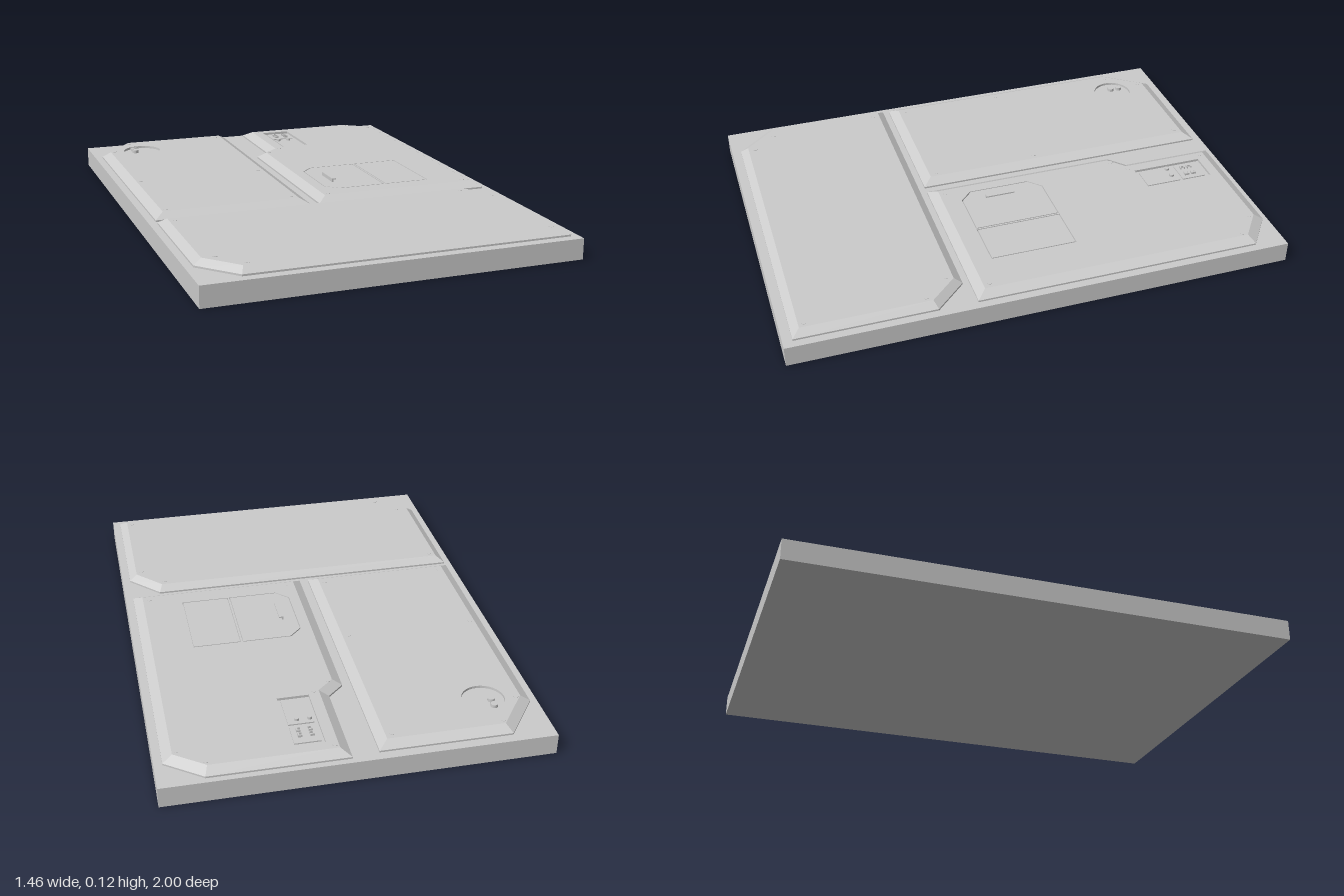
import * as THREE from 'three';

const TOP = 0.11, LIP = 0.089, BASE = 0.082, FLOOR = 0.1;
const mat = new THREE.MeshStandardMaterial({ color: 0xcccccc, flatShading: true });

// Outlines are [x, z] loops, counter-clockwise seen from above.
const rect = (x0, z0, x1, z1) => [[x0, z1], [x1, z1], [x1, z0], [x0, z0]];
const circle = (cx, cz, r, n = 32) => Array.from({ length: n }, (_, i) => {
  const a = (i / n) * Math.PI * 2;
  return [cx + r * Math.cos(a), cz - r * Math.sin(a)];
});
const toPoints = (loop) => loop.map(([x, z]) => new THREE.Vector2(x, -z));

// Moves every edge inward by d and intersects neighbouring edges.
function inset(loop, d) {
  const n = loop.length;
  const edges = loop.map(([x, z], i) => {
    const [x2, z2] = loop[(i + 1) % n];
    const l = Math.hypot(x2 - x, z2 - z), ux = (x2 - x) / l, uz = (z2 - z) / l;
    return { x: x + uz * d, z: z - ux * d, ux, uz };
  });
  return edges.map((b, i) => {
    const a = edges[(i + n - 1) % n];
    const t = ((b.x - a.x) * b.uz - (b.z - a.z) * b.ux) / (a.ux * b.uz - a.uz * b.ux);
    return [a.x + a.ux * t, a.z + a.uz * t];
  });
}

// Strip of quads joining two loops at two heights.
function band(lower, y0, upper, y1) {
  const pos = [], n = lower.length;
  for (let i = 0; i < n; i++) {
    const j = (i + 1) % n;
    const a = [lower[i][0], y0, lower[i][1]], b = [lower[j][0], y0, lower[j][1]];
    const c = [upper[j][0], y1, upper[j][1]], d = [upper[i][0], y1, upper[i][1]];
    pos.push(...a, ...b, ...c, ...a, ...c, ...d);
  }
  const g = new THREE.BufferGeometry();
  g.setAttribute('position', new THREE.Float32BufferAttribute(pos, 3));
  g.computeVertexNormals();
  return g;
}

function cap(loop, y, holes = []) {
  const s = new THREE.Shape(toPoints(loop));
  s.holes = holes.map((h) => new THREE.Path(toPoints(h)));
  return new THREE.ShapeGeometry(s).rotateX(-Math.PI / 2).translate(0, y, 0);
}

function add(parent, name, geometry) {
  const m = new THREE.Mesh(geometry, mat);
  m.name = name;
  parent.add(m);
  return m;
}

const box = (parent, name, x, y, z, w, h, d) =>
  add(parent, name, new THREE.BoxGeometry(w, h, d).translate(x, y, z));
const stud = (parent, name, x, z, r, y0, y1) =>
  add(parent, name, new THREE.CylinderGeometry(r, r, y1 - y0, 12).translate(x, (y0 + y1) / 2, z));

// Plate standing inside a pocket, leaving a narrow seam around it.
function plate(parent, name, loop, y) {
  add(parent, name + 'Side', band(loop, FLOOR, loop, y));
  add(parent, name, cap(loop, y));
}

// Bevelled armour panel with pockets and rivets.
function panel(name, outline, bevel, pockets, rivets) {
  const g = new THREE.Group();
  g.name = name;
  const top = inset(outline, bevel);
  add(g, 'panelLip', band(outline, BASE, outline, LIP));
  add(g, 'panelBevel', band(outline, LIP, top, TOP));
  add(g, 'panelTop', cap(top, TOP, pockets));
  for (const p of pockets) {
    const inward = [...p].reverse();
    add(g, 'pocketWall', band(inward, FLOOR, inward, TOP));
    add(g, 'pocketFloor', cap(p, FLOOR));
  }
  for (const [x, z] of rivets) stud(g, 'rivet', x, z, 0.01, TOP - 0.002, TOP + 0.0012);
  return g;
}

export function createModel() {
  const root = new THREE.Group();
  root.name = 'floorPanel';
  box(root, 'slab', 0, BASE / 2, 0, 1.46, BASE, 2);

  // Left rear panel with a round well
  const rearRight = panel('roundWellPanel',
    [[-0.7, 0.268], [-0.067, 0.268], [-0.067, -0.963], [-0.57, -0.963], [-0.7, -0.785]], 0.037,
    [circle(-0.52, -0.763, 0.082)],
    [[-0.55, -0.905], [-0.645, -0.775], [-0.645, -0.23], [-0.645, 0.2], [-0.125, 0.2], [-0.13, -0.235], [-0.13, -0.9]]);
  for (const z of [-0.805, -0.768]) stud(rearRight, 'wellPlug', -0.55, z, 0.014, FLOOR, 0.113);
  root.add(rearRight);

  // Other rear panel with a control recess and a two-part hatch
  const hatch = [[0.1, 0.155], [0.3, 0.155], [0.3, -0.195], [0.1, -0.195], [0.05, -0.145], [0.05, 0.105]];
  const cover = rect(0.306, -0.195, 0.5, 0.155);
  const rearLeft = panel('hatchPanel',
    [[-0.03, 0.268], [0.698, 0.268], [0.698, -0.875], [0.56, -0.977], [0.035, -0.977], [0.035, -0.6], [-0.03, -0.54]], 0.037,
    [rect(0.115, -0.9, 0.238, -0.605), hatch, cover],
    [[0.03, 0.205], [0.635, 0.205], [0.645, -0.84], [0.55, -0.92], [0.087, -0.92], [0.09, -0.585], [0.025, -0.53]]);
  plate(rearLeft, 'hatchDoor', inset(hatch, 0.004), TOP);
  plate(rearLeft, 'hatchCover', inset(cover, 0.004), TOP);

  // Hooked hatch handle
  box(rearLeft, 'handleStem', 0.109, 0.117, -0.005, 0.006, 0.016, 0.12);
  box(rearLeft, 'handleGrip', 0.115, 0.1225, -0.005, 0.019, 0.005, 0.12);

  // Control recess: two raised plates, bracket pairs and plugs
  plate(rearLeft, 'socketPlate', rect(0.127, -0.88, 0.226, -0.78), 0.105);
  plate(rearLeft, 'plugPlate', rect(0.127, -0.767, 0.226, -0.62), 0.105);
  for (const [x, side] of [[0.147, 1], [0.203, -1]]) {
    for (const z of [-0.838, -0.808]) {
      box(rearLeft, 'bracketBar', x, 0.109, z, 0.005, 0.01, 0.02);
      for (const dz of [-0.008, 0.008])
        box(rearLeft, 'bracketArm', x + side * 0.007, 0.109, z + dz, 0.012, 0.01, 0.004);
    }
  }
  for (const x of [0.141, 0.19]) stud(rearLeft, 'controlPlug', x, -0.742, 0.01, FLOOR, 0.115);
  root.add(rearLeft);

  // Plain front panel
  root.add(panel('frontPanel',
    [[-0.57, 0.963], [0.698, 0.963], [0.698, 0.42], [0.58, 0.295], [-0.7, 0.295], [-0.7, 0.82]], 0.031, [],
    [[-0.62, 0.81], [-0.535, 0.905], [0.645, 0.91], [0.645, 0.455], [0.555, 0.352], [-0.645, 0.352]]));
  return root;
}
